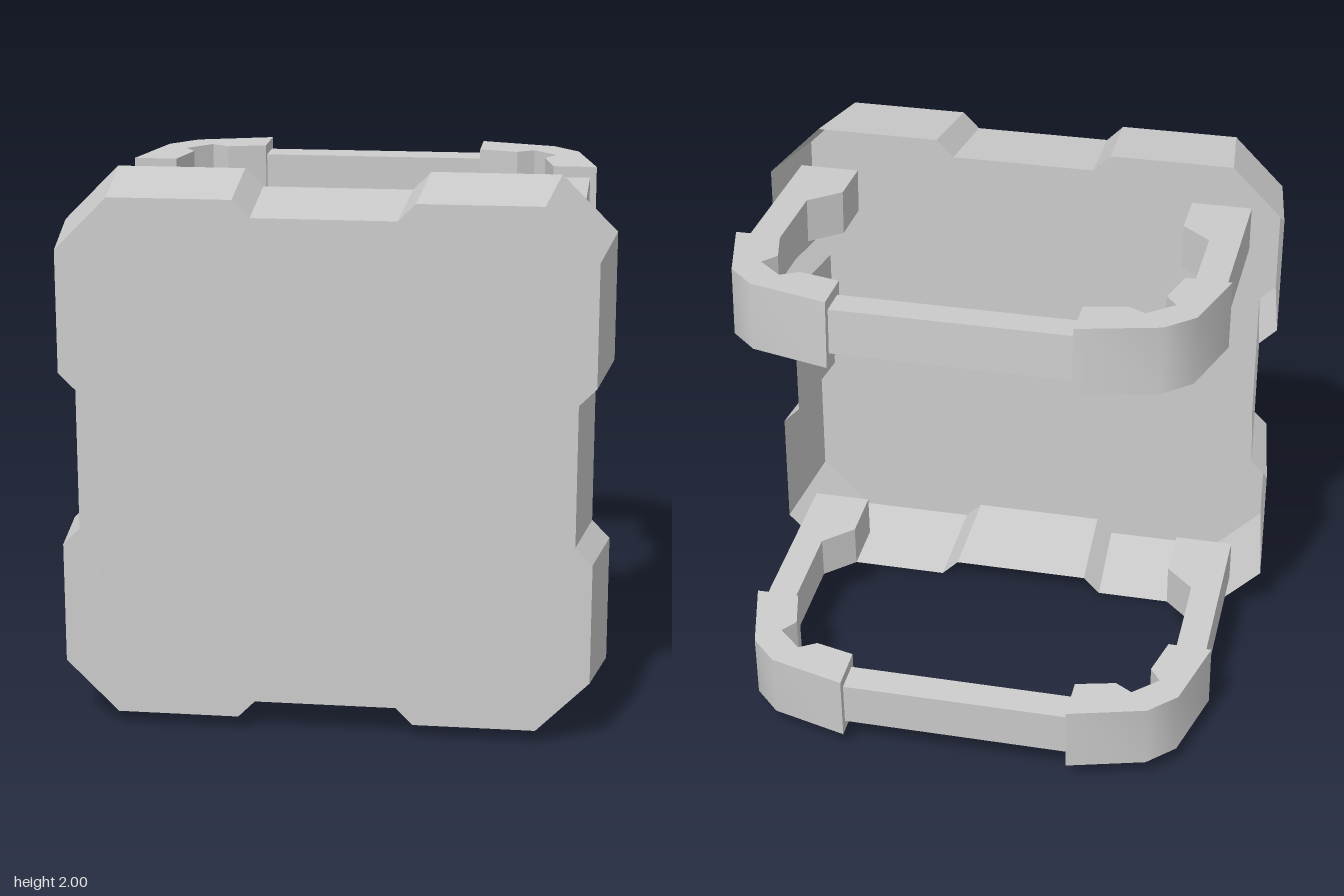
import * as THREE from 'three';
import { mergeVertices, toCreasedNormals } from 'three/addons/utils/BufferGeometryUtils.js';

const grey = new THREE.MeshStandardMaterial({ color: 0xcccccc });
const shellGrey = new THREE.MeshStandardMaterial({ color: 0xcccccc, side: THREE.DoubleSide, flatShading: true });

// Slab from a plan outline of [x, z] points, centred on y = 0
function slab(name, plan, height, side = 1, crease = 0) {
  const shape = new THREE.Shape(plan.map(([x, z]) => new THREE.Vector2(side * x, -z)));
  let geo = new THREE.ExtrudeGeometry(shape, { depth: height, bevelEnabled: false });
  geo.translate(0, 0, -height / 2).rotateX(-Math.PI / 2);
  if (crease) geo = toCreasedNormals(geo, crease);
  const mesh = new THREE.Mesh(geo, grey);
  mesh.name = name;
  return mesh;
}

// Notched, chamfered square: one side repeated by quarter turns
function panelOutline() {
  const side = [[-0.8, -1], [-0.335, -1], [-0.27, -0.935], [0.27, -0.935], [0.335, -1], [0.8, -1]];
  const points = [];
  for (let q = 0; q < 4; q++) {
    for (const [x, y] of side) {
      points.push(new THREE.Vector2(x, y).rotateAround(new THREE.Vector2(), q * Math.PI / 2));
    }
  }
  return points;
}

// Thin tray, closed at the front, open at the back, tapering forward
function createPanel() {
  const panel = new THREE.Group();
  panel.name = 'panel';
  const zBack = 0.42, zFront = 0.8;
  const back = panelOutline();
  const front = back.map((p) => p.clone().multiplyScalar(0.95));

  const faceGeo = new THREE.ShapeGeometry(new THREE.Shape(front));
  faceGeo.translate(0, 0, zFront);
  const face = new THREE.Mesh(faceGeo, shellGrey);
  face.name = 'panelFace';

  const pos = [];
  back.forEach((b0, i) => {
    const j = (i + 1) % back.length;
    const b1 = back[j], f0 = front[i], f1 = front[j];
    pos.push(b0.x, b0.y, zBack, b1.x, b1.y, zBack, f1.x, f1.y, zFront);
    pos.push(b0.x, b0.y, zBack, f1.x, f1.y, zFront, f0.x, f0.y, zFront);
  });
  const rimGeo = new THREE.BufferGeometry();
  rimGeo.setAttribute('position', new THREE.Float32BufferAttribute(pos, 3));
  rimGeo.computeVertexNormals();
  const rim = new THREE.Mesh(rimGeo, shellGrey);
  rim.name = 'panelRim';

  panel.add(face, rim);
  panel.position.y = 1;
  return panel;
}

// U-shaped rail: two arms, two rounded corner blocks and a rear bar
function createRail(name) {
  const rail = new THREE.Group();
  rail.name = name;
  const arm = [[0.65, 0.42], [0.875, 0.42], [0.875, -0.4], [0.76, -0.4], [0.76, 0.1], [0.65, 0.205]];
  const corner = [
    [0.9, -0.32], [0.82, -0.62], [0.72, -0.72], [0.43, -0.8], // outer sweep
    [0.43, -0.625], [0.58, -0.588], [0.645, -0.628], [0.737, -0.54], [0.694, -0.48], [0.735, -0.32],
  ];
  const bar = [[-0.5, -0.65], [0.5, -0.65], [0.5, -0.77], [-0.5, -0.77]];
  for (const [label, s] of [['left', 1], ['right', -1]]) {
    rail.add(slab(label + 'Arm', arm, 0.168, s));
    rail.add(slab(label + 'Corner', corner, 0.252, s, 0.7));
  }
  rail.add(slab('rearBar', bar, 0.168));
  return rail;
}

export function createModel() {
  const model = new THREE.Group();
  model.name = 'model';
  model.add(createPanel());
  // The rails splay apart slightly towards the back
  for (const [name, s] of [['upperRail', 1], ['lowerRail', -1]]) {
    const rail = createRail(name);
    rail.position.y = 1 + s * 0.773;
    rail.rotation.x = s * 0.043;
    model.add(rail);
  }
  return model;
}
